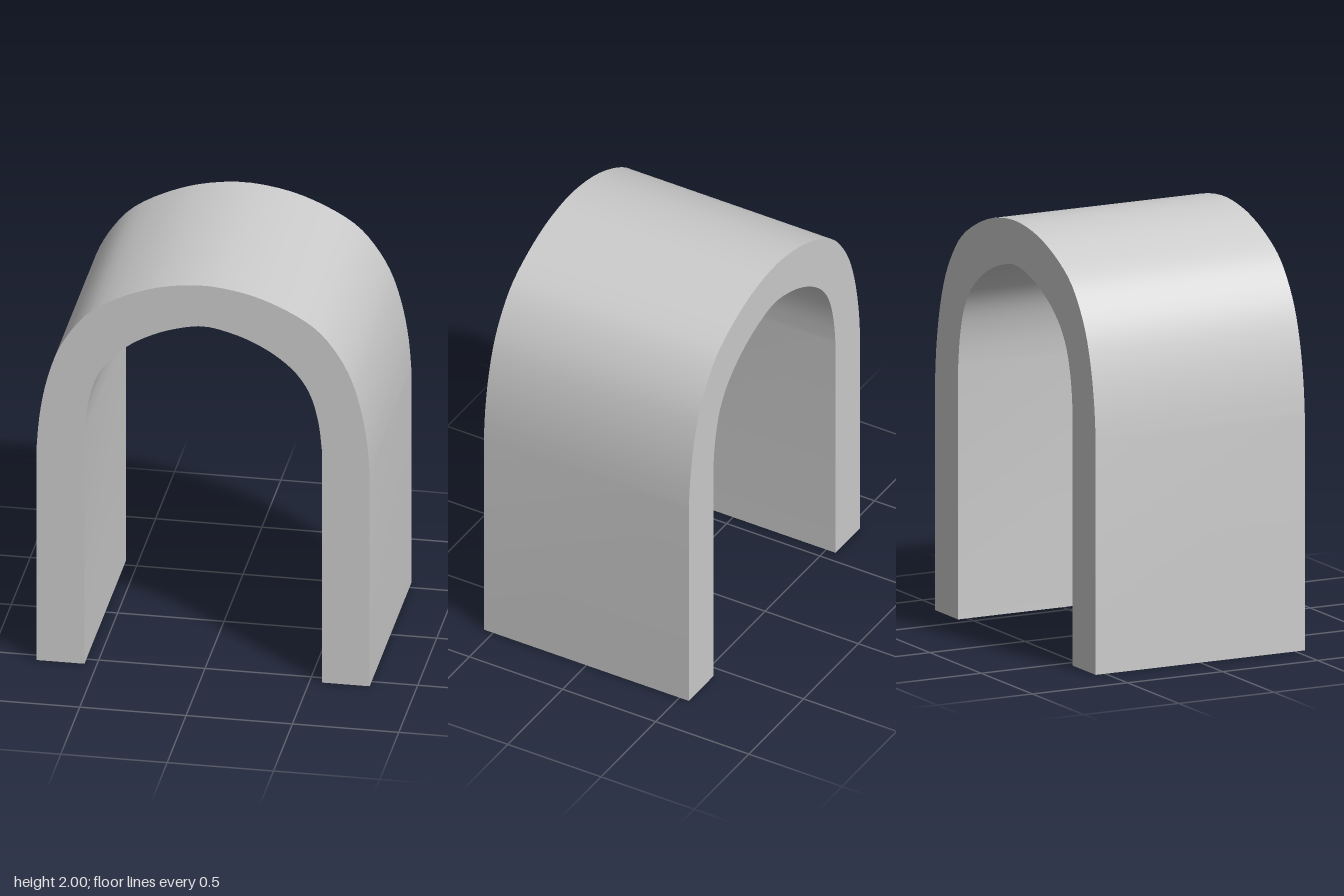
import * as THREE from 'three';
import { toCreasedNormals } from 'three/addons/utils/BufferGeometryUtils.js';

const DEPTH = 1.1;

// Half profiles of the vault, from the springing line up to the crown
const OUTER = [[0.783, 1.1], [0.77, 1.26], [0.74, 1.43], [0.69, 1.59], [0.617, 1.72], [0.52, 1.828], [0.37, 1.915], [0.2, 1.975], [0, 2]];
const INNER = [[0.558, 1.2], [0.542, 1.34], [0.505, 1.475], [0.445, 1.575], [0.365, 1.65], [0.27, 1.71], [0.15, 1.76], [0, 1.79]];

// Mirror a half profile into a full arc running from +x over the crown to -x
function fullArc(half) {
  const right = half.map(([x, y]) => new THREE.Vector2(x, y));
  const left = half.slice(0, -1).reverse().map(([x, y]) => new THREE.Vector2(-x, y));
  return [...right, ...left];
}

export function createModel() {
  const group = new THREE.Group();
  group.name = 'archway';

  const outer = fullArc(OUTER);
  const inner = fullArc(INNER).reverse();

  // Outline: up the right leg, over the outside, down the left leg, back along the inside
  const shape = new THREE.Shape();
  shape.moveTo(outer[0].x, 0);
  shape.lineTo(outer[0].x, outer[0].y);
  shape.splineThru(outer.slice(1));
  shape.lineTo(-outer[0].x, 0);
  shape.lineTo(inner[0].x, 0);
  shape.lineTo(inner[0].x, inner[0].y);
  shape.splineThru(inner.slice(1));
  shape.lineTo(-inner[0].x, 0);
  shape.closePath();

  // Extrude along z, smooth over the vault and sharp at the rims and feet
  const extruded = new THREE.ExtrudeGeometry(shape, { depth: DEPTH, curveSegments: 3, bevelEnabled: false });
  extruded.translate(0, 0, -DEPTH / 2);
  const arch = new THREE.Mesh(
    toCreasedNormals(extruded, Math.PI / 5),
    new THREE.MeshStandardMaterial({ color: 0xcccccc })
  );
  arch.name = 'arch';
  group.add(arch);
  return group;
}
